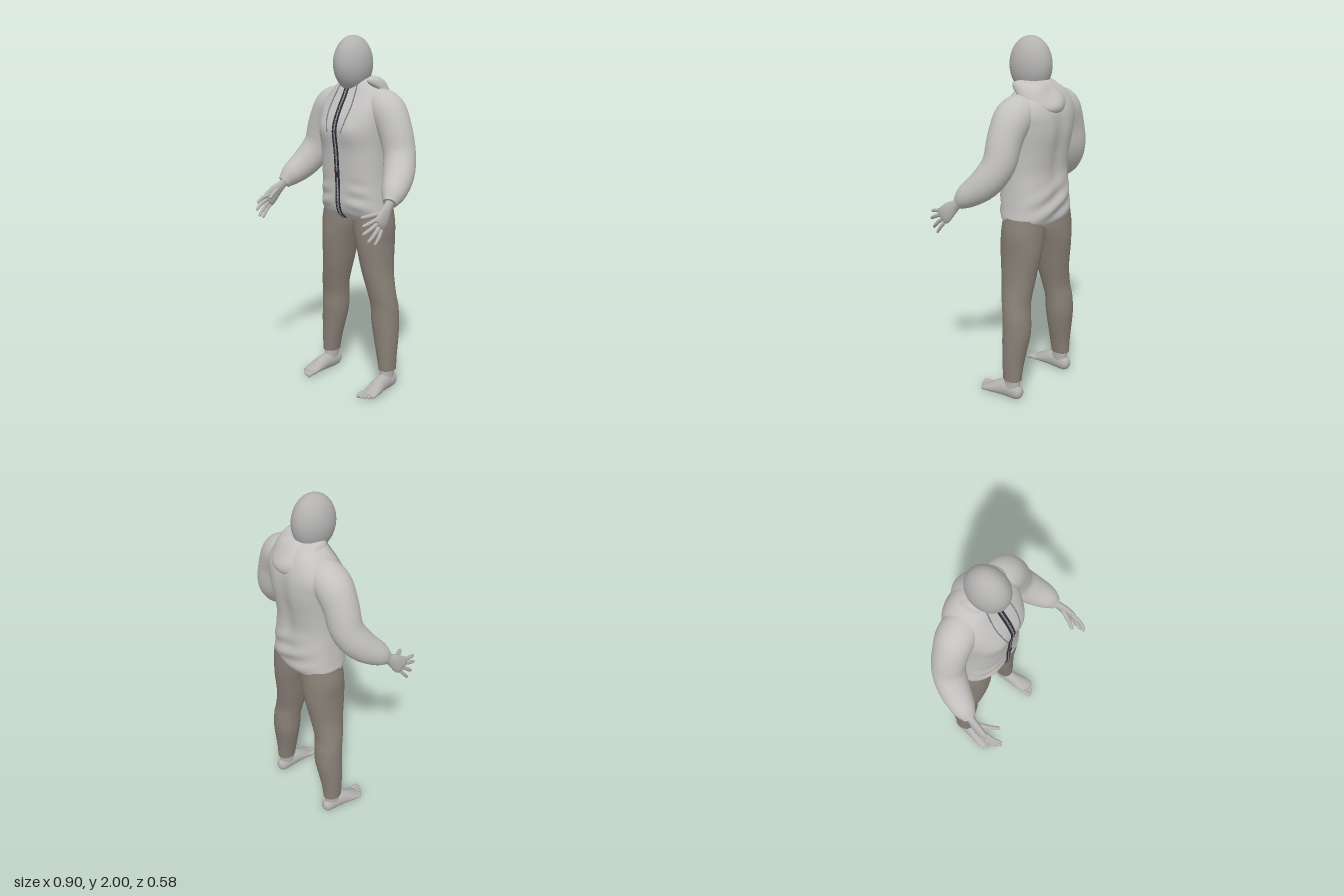
import * as THREE from 'three';
import { mergeGeometries } from 'three/addons/utils/BufferGeometryUtils.js';

const V = (x, y, z) => new THREE.Vector3(x, y, z);
const mat = (name, color) => Object.assign(new THREE.MeshStandardMaterial({ color }), { name });

// Smooth interpolation of rows keyed by their first column
function spline(keys, t) {
  let i = 0;
  while (i < keys.length - 2 && t > keys[i + 1][0]) i++;
  const a = keys[i], b = keys[i + 1], p = keys[i - 1] || a, q = keys[i + 2] || b;
  const h = b[0] - a[0], s = (t - a[0]) / h, s2 = s * s, s3 = s2 * s;
  return a.map((_, k) => {
    const m0 = (b[k] - p[k]) / (b[0] - p[0]) * h, m1 = (q[k] - a[k]) / (q[0] - a[0]) * h;
    return (2 * s3 - 3 * s2 + 1) * a[k] + (s3 - 2 * s2 + s) * m0 + (3 * s2 - 2 * s3) * b[k] + (s3 - s2) * m1;
  });
}

// Skin a list of equal rings and close both ends
function loft(rings) {
  const n = rings[0].length, pos = [], idx = [];
  rings.forEach(r => r.forEach(p => pos.push(p.x, p.y, p.z)));
  for (let i = 0; i < rings.length - 1; i++) for (let j = 0; j < n; j++) {
    const a = i * n + j, b = i * n + (j + 1) % n;
    idx.push(a, b, b + n, a, b + n, a + n);
  }
  [0, rings.length - 1].forEach(e => {
    const base = pos.length / 3, c = V(0, 0, 0);
    rings[e].forEach(p => c.addScaledVector(p, 1 / n));
    [...rings[e], c].forEach(p => pos.push(p.x, p.y, p.z));
    for (let j = 0; j < n; j++) {
      const a = base + j, b = base + (j + 1) % n;
      e ? idx.push(a, b, base + n) : idx.push(b, a, base + n);
    }
  });
  const g = new THREE.BufferGeometry();
  g.setAttribute('position', new THREE.Float32BufferAttribute(pos, 3));
  g.setIndex(idx);
  g.computeVertexNormals();
  return g;
}

// Limb along a path: rows are [x, y, z, radiusU, radiusV]; U lies nearest to ref
function limb(rows, ref, { steps = 14, sides = 14, round = 0 } = {}) {
  const keys = rows.map((r, i) => [i / (rows.length - 1), r[0], r[1], r[2], r[3], r[4] ?? r[3]]);
  const rings = [];
  for (let i = 0; i <= steps; i++) {
    const t = (1 - Math.cos(Math.PI * i / steps)) / 2;
    const at = s => V(...spline(keys, s).slice(1, 4));
    const tan = at(Math.min(1, t + .01)).sub(at(Math.max(0, t - .01))).normalize();
    const u = ref.clone().addScaledVector(tan, -ref.dot(tan)).normalize(), v = tan.clone().cross(u);
    const [, , , , ru, rv] = spline(keys, t), edge = Math.min(t, 1 - t);
    const f = edge < round ? Math.sqrt(Math.max(.01, 1 - (1 - edge / round) ** 2)) : 1;
    rings.push(Array.from({ length: sides }, (_, j) => {
      const a = j / sides * Math.PI * 2;
      return at(t).addScaledVector(u, Math.cos(a) * ru * f).addScaledVector(v, Math.sin(a) * rv * f);
    }));
  }
  return loft(rings);
}

// Body of horizontal slices: rows are [y, centreX, halfWidth, frontZ, backZ]
function stack(rows, steps, sides, power, bump = () => 0) {
  const rings = [], y0 = rows[0][0], y1 = rows[rows.length - 1][0];
  const pw = s => Math.sign(s) * Math.abs(s) ** (2 / power);
  for (let i = 0; i <= steps; i++) {
    const [y, cx, hw, zf, zb] = spline(rows, y0 + (y1 - y0) * i / steps);
    rings.push(Array.from({ length: sides }, (_, j) => {
      const a = j / sides * Math.PI * 2, x = cx + pw(Math.sin(a)) * hw;
      return V(x, y, (zf + zb) / 2 + pw(Math.cos(a)) * (zf - zb) / 2 + bump(x, y, Math.cos(a)));
    }));
  }
  return loft(rings);
}

function mirror(g) {
  const m = g.clone().applyMatrix4(new THREE.Matrix4().makeScale(-1, 1, 1));
  const ix = m.index.array;
  for (let i = 0; i < ix.length; i += 3) [ix[i], ix[i + 1]] = [ix[i + 1], ix[i]];
  m.computeVertexNormals();
  return m;
}

const TORSO = [
  [1.0, 0, .203, -.01, -.23], [1.04, 0, .216, .03, -.258], [1.1, 0, .21, .046, -.266], [1.2, 0, .202, .048, -.26],
  [1.3, 0, .198, .055, -.25], [1.4, 0, .2, .062, -.262], [1.5, 0, .208, .072, -.28], [1.56, 0, .213, .058, -.284],
  [1.62, 0, .215, .03, -.28], [1.68, 0, .19, -.005, -.262], [1.73, 0, .142, -.03, -.235], [1.765, 0, .095, -.05, -.195],
  [1.78, 0, .07, -.06, -.17]];
const gauss = (x, y, cx, cy, w, h) => Math.exp(-(((x - cx) / w) ** 2) - ((y - cy) / h) ** 2);
// Chest, spine hollow and cloth folds
const clothBump = (x, y, c) => c > 0
  ? c * (.015 * gauss(Math.abs(x), y, .1, 1.49, .07, .08)
    + .007 * Math.sin(y * 75 + Math.abs(x) * 14) * gauss(Math.abs(x), y, .13, 1.11, .07, .1))
  : -c * (.014 * gauss(x, y, 0, 1.45, .04, .25)
    + .008 * Math.sin(y * 60 + x * 25) * gauss(x, y, .02, 1.12, .2, .1));
const frontZ = (x, y) => {
  const [, , hw, zf, zb] = spline(TORSO, y), c = Math.max(0, 1 - Math.abs(x / hw) ** 2.4) ** (1 / 2.4);
  return (zf + zb) / 2 + c * (zf - zb) / 2 + clothBump(x, y, c);
};

export function createModel() {
  const model = new THREE.Group();
  const skin = mat('skin grey', 0xb3b2b1), cloth = mat('jacket light grey', 0xc3c2c0);
  const trouser = mat('trouser taupe', 0x888076), dark = mat('zip dark', 0x2c2c35);
  const metal = mat('zip teeth grey', 0x777783), cordGrey = mat('cord grey', 0x85848a);
  const add = (name, g, m) => {
    const mesh = new THREE.Mesh(g, m);
    mesh.name = name;
    model.add(mesh);
  };
  const pair = (name, g, m) => { add(name + 'Left', g, m); add(name + 'Right', mirror(g), m); };
  const X = V(1, 0, 0), Z = V(0, 0, 1), Y = V(0, 1, 0);

  // Head and neck
  add('head', new THREE.SphereGeometry(1, 40, 28).scale(.097, .15, .122).translate(0, 1.85, -.074), skin);
  add('neck', new THREE.CylinderGeometry(.06, .065, .12, 24).translate(0, 1.77, -.1), skin);

  // Jacket body and sleeves
  add('jacketBody', stack(TORSO, 70, 72, 2.4, clothBump), cloth);
  pair('sleeve', limb([
    [.08, 1.645, -.13, .08], [.195, 1.61, -.125, .1], [.262, 1.51, -.12, .093], [.303, 1.38, -.112, .088],
    [.345, 1.28, -.055, .084], [.385, 1.205, .03, .066], [.402, 1.16, .08, .038]], Z, { steps: 36, sides: 32 }), cloth);

  // Hood slumped behind the neck, hanging lowest at the back
  const hood = [];
  for (let i = 0; i <= 60; i++) {
    const th = -2 + 4 * i / 60, w = Math.max(0, Math.cos(th * .8)) ** 1.6;
    const end = Math.sqrt(Math.max(.02, 1 - (th / 2) ** 6));
    const long = (.035 + .06 * w) * end, thick = (.028 + .014 * w) * end;
    const dr = .8 - .2 * w, dy = -Math.sqrt(1 - dr * dr), cr = .1 + .018 * w, cy = 1.763 - .063 * w;
    hood.push(Array.from({ length: 32 }, (_, j) => {
      const a = j / 32 * Math.PI * 2;
      const fold = 1 + .13 * Math.sin(a * 3 + th * 2.5) + .06 * Math.sin(th * 7 + a * 2);
      const l = Math.cos(a) * long, k = Math.sin(a) * thick * fold;
      const r = cr + l * dr - k * dy, y = cy + l * dy + k * dr;
      return V(.025 + r * Math.sin(th), y, -.1 - r * Math.cos(th));
    }));
  }
  add('hood', loft(hood), cloth);

  // Zip: two dark tapes, a row of teeth and a slider
  const tape = x => limb(Array.from({ length: 24 }, (_, i) => {
    const y = 1.003 + i * .0315;
    return [x, y, frontZ(x, y) + .001, .006, .004];
  }), X, { steps: 60, sides: 8 });
  add('zipTapes', mergeGeometries([tape(-.011), tape(.011)]), dark);
  const teeth = [];
  for (let i = 0; i < 72; i++) {
    const y = 1.008 + i * .0099;
    teeth.push(new THREE.BoxGeometry(.011, .005, .008).translate(i % 2 ? .002 : -.002, y, frontZ(0, y) + .001));
  }
  add('zipTeeth', mergeGeometries(teeth), metal);
  add('zipSlider', new THREE.BoxGeometry(.016, .03, .012).translate(.004, 1.255, frontZ(0, 1.255) + .005), dark);

  // Drawcords
  pair('drawcord', limb([[.06, 1.745], [.068, 1.7], [.075, 1.63], [.068, 1.56], [.05, 1.49]]
    .map(([x, y]) => [x, y, frontZ(x, y) + .003, .0035]), X, { steps: 24, sides: 8 }), cordGrey);

  // Trousers
  pair('trouserLeg', stack([
    [.12, .223, .045, -.075, -.185], [.2, .217, .055, -.07, -.19], [.3, .207, .069, -.066, -.203],
    [.4, .196, .078, -.06, -.217], [.5, .19, .079, -.058, -.213], [.57, .18, .08, -.045, -.203],
    [.7, .153, .084, -.02, -.215], [.86, .132, .099, 0, -.238], [.97, .118, .117, -.002, -.24],
    [1.06, .11, .11, -.01, -.235]], 44, 40, 2.1), trouser);

  // Feet with five toes, the big toe innermost
  pair('ankle', limb([[.222, .15, -.13, .034, .046], [.222, .09, -.128, .034, .05], [.224, .04, -.12, .034, .05]], X), skin);
  pair('foot', limb([
    [.222, .042, -.197, .022, .024], [.222, .046, -.165, .034, .044], [.224, .05, -.11, .037, .05],
    [.228, .045, -.055, .041, .045], [.234, .031, 0, .047, .031], [.237, .021, .04, .047, .019],
    [.237, .017, .058, .042, .013]], X, { steps: 24, sides: 24, round: .06 }), skin);
  const toes = [];
  for (let i = 0; i < 5; i++) {
    const x = .2 + i * .0185, r = i ? .0095 - i * .0004 : .0135, tip = .1 - i * i * .0026;
    toes.push(limb([[x, .02, .025, r], [x, .021, tip - .03, r], [x, .013, tip, r]], Y, { round: .16 }));
  }
  pair('toes', mergeGeometries(toes), skin);

  // Hands reaching forward and down
  pair('palm', limb([
    [.397, 1.175, .06, .022, .028], [.405, 1.148, .095, .021, .027], [.416, 1.115, .135, .02, .041],
    [.423, 1.08, .17, .018, .048], [.422, 1.06, .192, .012, .042]], X, { steps: 20, sides: 20, round: .06 }), skin);
  const digits = [
    [[.418, 1.1, .185], [.415, 1.088, .24], [.4, 1.072, .288], .0105],
    [[.421, 1.08, .19], [.418, 1.055, .245], [.404, 1.03, .292], .0105],
    [[.423, 1.062, .18], [.424, 1.02, .228], [.415, .987, .264], .01],
    [[.424, 1.045, .165], [.431, 1.003, .198], [.428, .968, .226], .009],
    [[.41, 1.13, .12], [.378, 1.11, .19], [.345, 1.1, .242], .012]];
  pair('fingers', mergeGeometries(digits.map(([a, b, c, r]) =>
    limb([[...a, r * 1.15], [...b, r], [...c, r * .8]], Y, { round: .12 }))), skin);

  return model;
}
